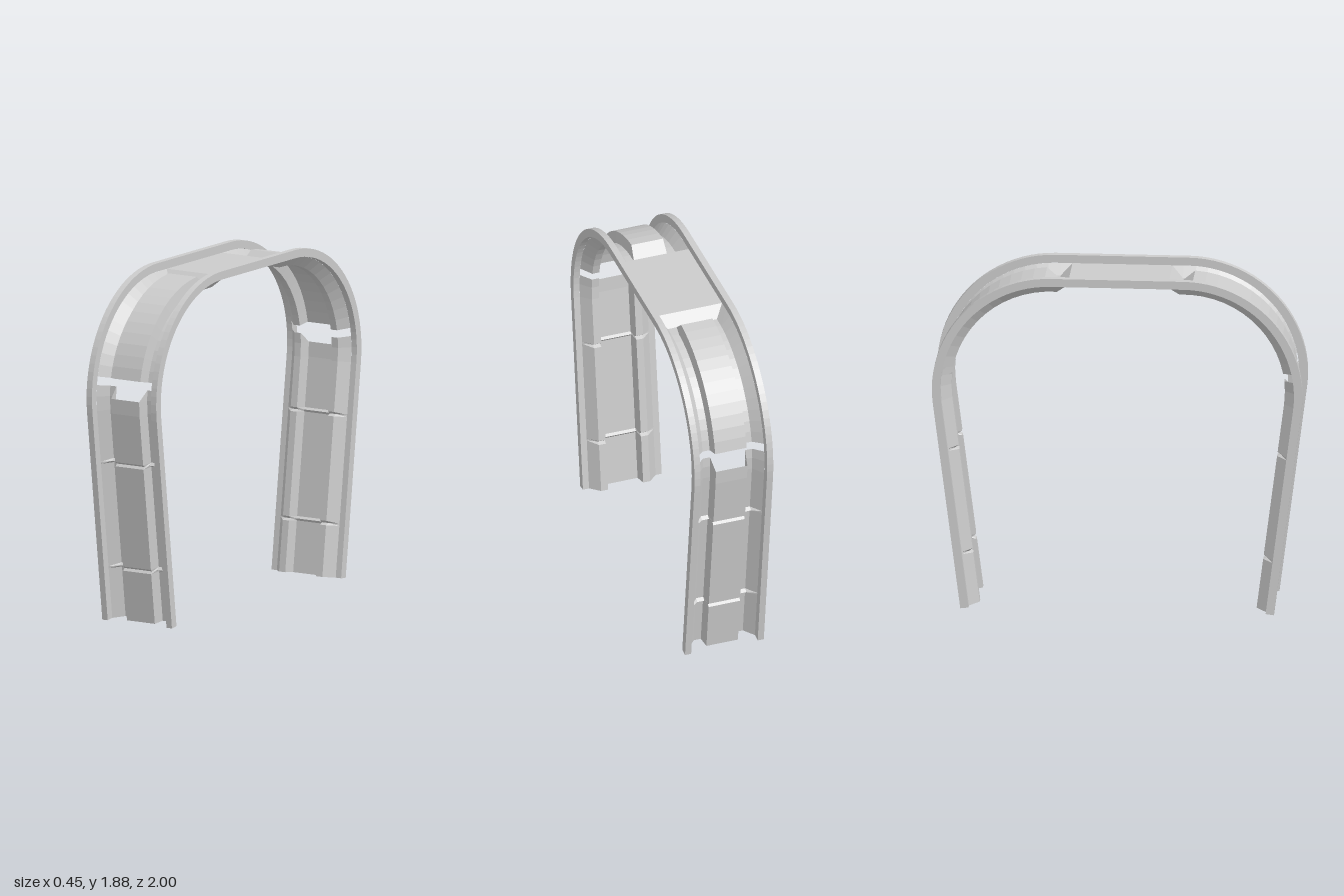
import * as THREE from 'three';

// Half arch centreline: straight leaning leg, round shoulder, flat top
const R = 0.64, CZ = 0.36, CY = 1.24, LEAN = THREE.MathUtils.degToRad(7.3);
const ARC = R * (Math.PI / 2 + LEAN);
const LEG = (CY - R * Math.sin(LEAN)) / Math.cos(LEAN);
const RIM = 0.045, HALF = 0.225, INNER = 0.19, DEEP = 0.1, RIDGE = 0.037;

// Distance along the path for a shoulder angle in degrees
const atAngle = (deg) => R * (THREE.MathUtils.degToRad(deg) + LEAN);

// Point [z, y] at distance s along the path, sunk d below the outer edge
function pathPoint(s, d) {
  if (s > ARC) return [CZ - (s - ARC), CY + R - d];
  const a = Math.max(s, 0) / R - LEAN;
  const down = Math.max(-s, 0);
  return [
    CZ + (R - d) * Math.cos(a) - down * Math.sin(LEAN),
    CY + (R - d) * Math.sin(a) - down * Math.cos(LEAN),
  ];
}

// Folded sheet: each row is { s, section }, section = list of [x, depth, optional s]
function foldedSheet(rows) {
  const pos = [], idx = [], n = rows[0].section.length;
  rows.forEach(({ s, section }, i) => {
    section.forEach(([x, d, own = s], j) => {
      const [z, y] = pathPoint(own, d);
      pos.push(x, y, z);
      if (i && j) {
        const b = i * n + j, a = b - n;
        idx.push(a - 1, b - 1, a, a, b - 1, b);
      }
    });
  });
  const g = new THREE.BufferGeometry();
  g.setAttribute('position', new THREE.Float32BufferAttribute(pos, 3));
  g.setIndex(idx);
  const flat = g.toNonIndexed();
  flat.computeVertexNormals();
  return flat;
}

// Mirrored channel section with a raised middle ridge
function channel({ edgeX = 0.14, deep = DEEP, ridge = RIDGE, ridgeS } = {}) {
  const half = [[INNER, RIM], [edgeX, deep], [0.1, deep], [0.09, ridge, ridgeS]];
  return [...half, ...half.slice().reverse().map(([x, d, s]) => [-x, d, s])];
}

// Leg lining with two V grooves; its ridge stops short of the side flats
function legGeometry() {
  const rows = [{ s: -LEG, section: channel() }];
  for (const seam of [-0.876, -0.286]) {
    rows.push({ s: seam - 0.012, section: channel() });
    rows.push({ s: seam, section: channel({ deep: 0.08, ridge: 0.05 }) });
    rows.push({ s: seam + 0.012, section: channel() });
  }
  rows.push({ s: 0, section: channel() });
  const stop = atAngle(0.5);
  rows.push({ s: stop, section: channel() });
  rows.push({ s: atAngle(6.5), section: channel({ ridgeS: stop }) });
  return foldedSheet(rows);
}

// Shoulder lining, closed by sloping faces where it meets the flat top
function shoulderGeometry() {
  const rows = [], steps = 12;
  for (let i = 0; i <= steps; i++) {
    rows.push({ s: atAngle(11 + (75.2 * i) / steps), section: channel() });
  }
  rows.push({ s: ARC + 0.03, section: channel({ ridge: DEEP }) });
  rows.push({ s: ARC + 0.09, section: channel({ edgeX: INNER, deep: RIM, ridge: RIM }) });
  return foldedSheet(rows);
}

// Arch-shaped rim cut from a flat outline
function rimGeometry() {
  const stops = [-LEG];
  for (let i = 0; i <= 24; i++) stops.push((ARC * i) / 24);
  const edge = (d) => {
    const half = stops.map((s) => pathPoint(s, d));
    return [...half, ...half.slice().reverse().map(([z, y]) => [-z, y])];
  };
  const outline = [...edge(0), ...edge(RIM).reverse()].map(([z, y]) => new THREE.Vector2(z, y));
  const g = new THREE.ExtrudeGeometry(new THREE.Shape(outline), {
    depth: HALF - INNER, bevelEnabled: false,
  });
  return g.translate(0, 0, -(HALF - INNER) / 2).rotateY(-Math.PI / 2);
}

export function createModel() {
  const model = new THREE.Group();
  model.name = 'arch';
  const solid = new THREE.MeshStandardMaterial({ color: 0xcccccc, flatShading: true });
  const sheet = new THREE.MeshStandardMaterial({
    color: 0xcccccc, flatShading: true, side: THREE.DoubleSide,
  });
  const add = (name, geometry, material, parent = model) => {
    const mesh = new THREE.Mesh(geometry, material);
    mesh.name = name;
    parent.add(mesh);
    return mesh;
  };

  // Rims on both sides
  const rim = rimGeometry();
  add('leftRim', rim, solid).position.x = (HALF + INNER) / 2;
  add('rightRim', rim, solid).position.x = -(HALF + INNER) / 2;

  // Front and back linings
  const leg = legGeometry(), shoulder = shoulderGeometry();
  for (const [name, turn] of [['front', 0], ['back', Math.PI]]) {
    const side = new THREE.Group();
    side.name = name + 'Lining';
    side.rotation.y = turn;
    add(name + 'LegPanel', leg, sheet, side);
    add(name + 'ShoulderPanel', shoulder, sheet, side);
    model.add(side);
  }

  // Flat roof plate
  const roof = new THREE.BoxGeometry(INNER * 2, 0.004, (CZ - 0.09) * 2);
  add('roofPanel', roof, solid).position.y = CY + R - RIM - 0.002;
  return model;
}
